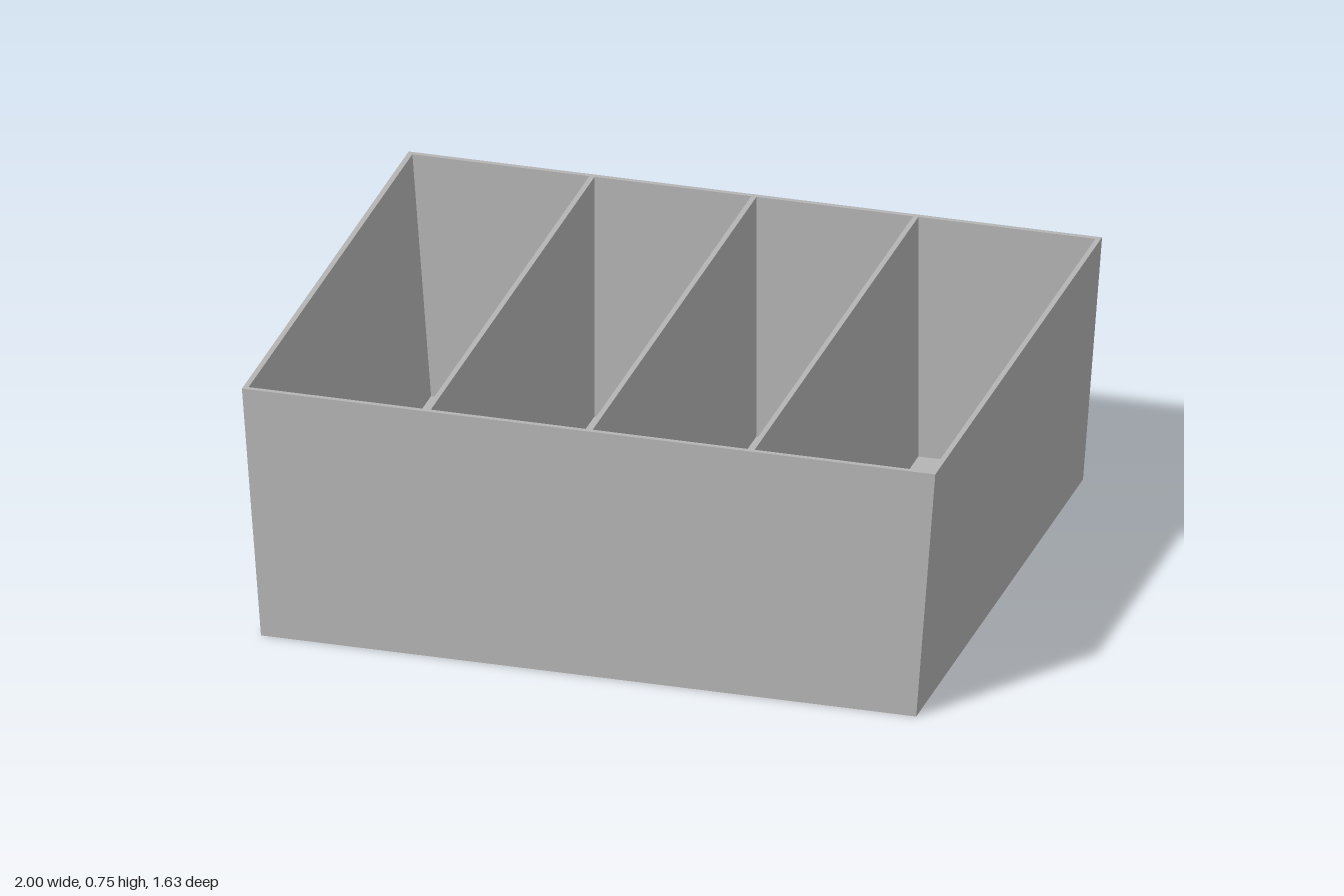
import * as THREE from 'three';

const H = 0.745;      // height
const TOP = 1;        // half width at the rim
const BASE = 0.945;   // half width at the bottom
const D = 0.815;      // half depth
const T = 0.015;      // board thickness

// Half width of the flared box at height y
const halfWidth = (y) => BASE + (TOP - BASE) * (y / H);

export function createModel() {
  const group = new THREE.Group();
  const grey = new THREE.MeshStandardMaterial({ color: 0xb4b4b4 });
  grey.name = 'grey board';

  // Board with a cross-section in x, y, running from z0 over a given depth
  function board(name, points, z0, depth) {
    const shape = new THREE.Shape(points.map(([x, y]) => new THREE.Vector2(x, y)));
    const geometry = new THREE.ExtrudeGeometry(shape, { depth, bevelEnabled: false });
    geometry.translate(0, 0, z0);
    const mesh = new THREE.Mesh(geometry, grey);
    mesh.name = name;
    group.add(mesh);
  }

  // Front and back panels: flared trapezoids
  const panel = [[-BASE, 0], [BASE, 0], [TOP, H], [-TOP, H]];
  board('frontPanel', panel, D - T, T);
  board('backPanel', panel, -D, T);

  // Sloping side walls between the panels
  const inner = 2 * (D - T);
  for (const [name, s] of [['leftWall', 1], ['rightWall', -1]]) {
    board(name, [
      [s * BASE, 0], [s * TOP, H], [s * (TOP - T), H], [s * (BASE - T), 0],
    ], -D + T, inner);
  }

  // Floor, fitted between the sloping walls
  const low = BASE - T, high = halfWidth(T) - T;
  board('floor', [[-low, 0], [low, 0], [high, T], [-high, T]], -D + T, inner);

  // Three upright dividers, flush with the rim
  for (const x of [-0.467, 0, 0.467]) {
    board('divider', [
      [x - T / 2, T], [x + T / 2, T], [x + T / 2, H], [x - T / 2, H],
    ], -D + T, inner);
  }
  return group;
}
